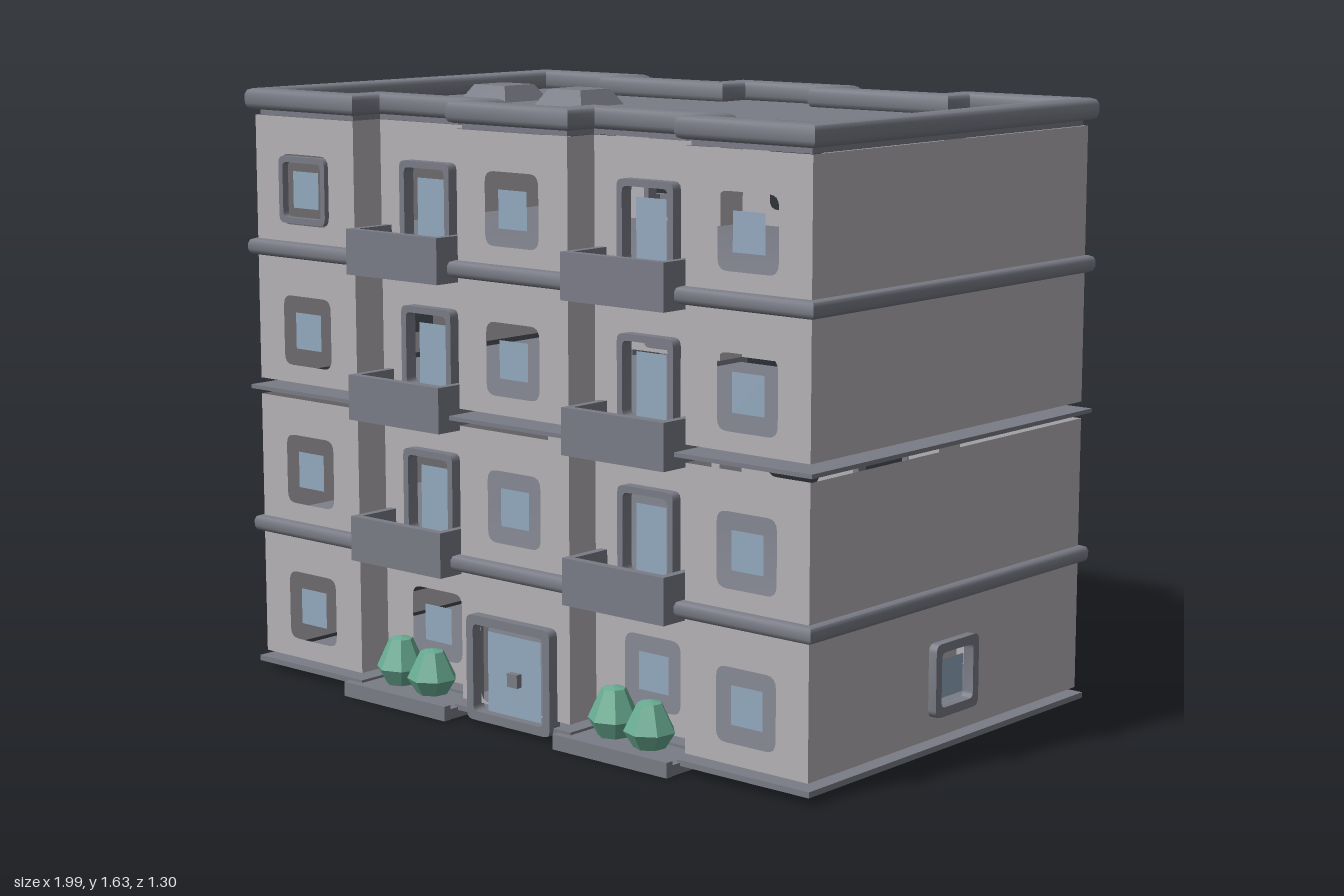
import * as THREE from 'three';
import { toCreasedNormals } from 'three/addons/utils/BufferGeometryUtils.js';

const mat = (name, color, side = THREE.FrontSide) =>
  Object.assign(new THREE.MeshStandardMaterial({ color, side }), { name });

const W = 0.97, D = 0.58, R = 0.48;          // half width, half depth, recessed wall depth
const BAY = 0.388, HB = BAY / 2;             // bay pitch and half bay
const FLOORS = [[0.05, 0.4], [0.43, 0.785], [0.83, 1.18], [1.22, 1.56]];
const WIN_Y = [0.2, 0.587, 0.975, 1.363];

// Building outline with two notches on the front and back, grown by e
function outline(e) {
  const w = W + e, d = D + e, r = R + e, a = BAY + HB - e, b = HB + e;
  const q = [[w, d], [a, d], [a, r], [b, r], [b, d]];
  const half = [...q, ...[...q].reverse().map(([x, y]) => [-x, y])];
  const pts = [...half, ...half.map(([x, y]) => [-x, -y])];
  return pts.map(([x, y]) => new THREE.Vector2(x, y));
}

// Rounded rectangle used for window openings and frames
function rounded(path, x0, y0, x1, y1, r) {
  path.moveTo(x0 + r, y0);
  path.lineTo(x1 - r, y0); path.quadraticCurveTo(x1, y0, x1, y0 + r);
  path.lineTo(x1, y1 - r); path.quadraticCurveTo(x1, y1, x1 - r, y1);
  path.lineTo(x0 + r, y1); path.quadraticCurveTo(x0, y1, x0, y1 - r);
  path.lineTo(x0, y0 + r); path.quadraticCurveTo(x0, y0, x0 + r, y0);
  return path;
}

export function createModel() {
  const wall = mat('wall grey', 0xb4b1b4, THREE.DoubleSide);
  const trim = mat('slate trim', 0x7a7c86);
  const glass = mat('window blue', 0x93a9bf);
  const leaf = mat('bush green', 0x68ab92);

  const model = new THREE.Group();
  model.name = 'apartmentBlock';
  const body = new THREE.Group();
  body.name = 'building';
  body.position.x = 0.008;
  model.add(body);

  const add = (name, geo, material, x = 0, y = 0, z = 0, parent = body) => {
    const m = new THREE.Mesh(geo, material);
    m.name = name;
    m.position.set(x, y, z);
    parent.add(m);
    return m;
  };
  const box = (name, w, h, d, x, y, z, parent, material = trim) =>
    add(name, new THREE.BoxGeometry(w, h, d), material, x, y, z, parent);

  // Horizontal slab following the outline; inner makes it a ring
  const slab = (name, e, y0, y1, bevel, inner) => {
    const s = new THREE.Shape(outline(e - bevel));
    if (inner !== undefined) s.holes.push(new THREE.Path(outline(inner + bevel)));
    const geo = new THREE.ExtrudeGeometry(s, {
      depth: y1 - y0 - 2 * bevel, bevelEnabled: bevel > 0,
      bevelSize: bevel, bevelThickness: bevel, bevelSegments: 2,
    }).rotateX(-Math.PI / 2);
    add(name, toCreasedNormals(geo, 0.9), trim, 0, y0 + bevel, 0);
  };

  // Flat wall panel with an optional opening [x0, y0, x1, y1]
  const panel = (name, w, y0, y1, hole, parent, x, z, turn = 0) => {
    const s = new THREE.Shape();
    s.moveTo(-w / 2, y0); s.lineTo(w / 2, y0); s.lineTo(w / 2, y1); s.lineTo(-w / 2, y1);
    if (hole) s.holes.push(rounded(new THREE.Path(), ...hole, 0.03));
    add(name, new THREE.ShapeGeometry(s, 4), wall, x, 0, z, parent).rotation.y = turn;
  };

  // Raised surround around an opening
  const frame = (name, [x0, y0, x1, y1], t, depth, parent, x, z, turn = 0) => {
    const s = rounded(new THREE.Shape(), x0 - t, y0 - t, x1 + t, y1 + t, 0.02);
    s.holes.push(rounded(new THREE.Path(), x0, y0, x1, y1, 0.015));
    const geo = new THREE.ExtrudeGeometry(s, { depth, bevelEnabled: false, curveSegments: 3 });
    add(name, toCreasedNormals(geo, 0.7), trim, x, 0, z, parent).rotation.y = turn;
  };
  const pane = (name, w, y0, y1, parent, x, z) =>
    add(name, new THREE.PlaneGeometry(w, y1 - y0), glass, x, (y0 + y1) / 2, z, parent);

  // Base, floor bands, roof and parapet
  slab('baseSlab', 0.015, 0.02, 0.035, 0);
  slab('firstBand', 0.02, 0.395, 0.44, 0.014);
  slab('middlePlate', 0.02, 0.8, 0.811, 0);
  slab('thirdBand', 0.02, 1.175, 1.22, 0.014);
  slab('roofDeck', -0.01, 1.56, 1.578, 0);
  slab('parapet', 0.02, 1.575, 1.632, 0.016, -0.042);

  // Shallow sagging underside
  const sag = new THREE.Shape([[-0.58, 0.025], [-0.2, 0.003], [0.2, 0.003], [0.58, 0.025]]
    .map(([z, y]) => new THREE.Vector2(z, y)));
  add('underside', new THREE.ExtrudeGeometry(sag, { depth: 1.16, bevelEnabled: false })
    .rotateY(Math.PI / 2), trim, -0.58, 0, 0);

  // Low-poly bush profile
  const bushGeo = new THREE.LatheGeometry([[0, 0], [0.042, 0.01], [0.068, 0.052], [0.032, 0.125], [0, 0.132]]
    .map(([x, y]) => new THREE.Vector2(x, y)), 7).toNonIndexed();
  bushGeo.computeVertexNormals();

  // Front and back facades
  for (const front of [true, false]) {
    const face = new THREE.Group();
    face.name = front ? 'frontFacade' : 'backFacade';
    face.rotation.y = front ? 0 : Math.PI;
    body.add(face);

    FLOORS.forEach(([y0, y1], f) => {
      const cy = WIN_Y[f];
      for (let b = -2; b <= 2; b++) {
        const x = b * BAY, recess = Math.abs(b) === 1, z = recess ? R : D;
        let hole = [-0.094, cy - 0.096, 0.094, cy + 0.096];
        if (recess && f > 0) {
          // Balcony door
          hole = [-0.085, y0 + 0.015, 0.085, cy + 0.088];
          pane('balconyDoor', 0.1, y0 + 0.015, cy + 0.05, face, x, z + 0.004);
          frame('balconyDoorFrame', [-0.075, y0 + 0.03, 0.075, cy + 0.078], 0.018, 0.035, face, x, z - 0.005);
        } else if (b === 0 && f === 0) {
          // Entrance
          hole = [-0.125, 0.055, 0.125, 0.275];
          frame('entranceFrame', [-0.125, 0.035, 0.125, 0.27], 0.024, 0.04, face, x, z - 0.01);
          if (front) {
            pane('entranceDoor', 0.19, 0.025, 0.25, face, x, z + 0.004);
            box('doorHandle', 0.036, 0.036, 0.02, x + 0.008, 0.137, z + 0.012, face);
          }
        } else if (front || recess) {
          pane('windowPane', 0.1, cy - 0.05, cy + 0.05, face, x, z - 0.004);
        }
        if (front && b === -2 && f === 3) {
          frame('windowFrame', [-0.075, cy - 0.075, 0.075, cy + 0.075], 0.016, 0.02, face, x, z - 0.008);
        }
        panel('wallPanel', BAY, y0, y1, hole, face, x, z);
        if (recess) for (const s of [-1, 1]) {
          panel('recessSide', D - R, y0, y1, null, face, x + s * HB, (D + R) / 2, Math.PI / 2);
        }
      }
    });

    for (const s of [-1, 1]) {
      // Balconies with solid railings
      for (const y of [0.38, 0.766, 1.158]) {
        const g = new THREE.Group();
        g.name = 'balcony';
        g.position.set(s * BAY, y, 0);
        face.add(g);
        box('balconyFloor', 0.33, 0.022, 0.13, 0, 0.011, 0.555, g);
        box('balconyFront', 0.34, 0.122, 0.024, 0, 0.061, 0.622, g);
        for (const e of [-1, 1]) box('balconySide', 0.022, 0.122, 0.13, e * 0.159, 0.061, 0.552, g);
      }
      // Planting bed and its two bushes
      box('plantingBed', 0.38, 0.028, 0.18, s * BAY, 0.014, 0.555, face);
      box('bedKerb', 0.385, 0.04, 0.022, s * BAY, 0.02, 0.637, face);
      for (const e of [-1, 1]) {
        const bush = add('bush', bushGeo, leaf, s * BAY + e * 0.068, 0.03, 0.56 + e * 0.008, face);
        bush.rotation.y = e;
        bush.scale.y = 1.04 - e * 0.04;
      }
    }
  }

  // End walls
  FLOORS.forEach(([y0, y1], f) => {
    const cy = WIN_Y[f], hole = [-0.09, cy - 0.085, 0.09, cy + 0.085];
    panel('leftEndWall', 2 * D, y0, y1, f === 0 ? [-0.085, 0.11, 0.085, 0.285] : null, body, W, 0, Math.PI / 2);
    panel('rightEndWall', 2 * D, y0, y1, f % 2 === 0 ? hole : null, body, -W, 0, -Math.PI / 2);
    if (f > 0) box('wallVent', 0.03, 0.025, 0.025, -W - 0.01, cy, -0.47);
  });
  frame('endWindowFrame', [-0.068, 0.132, 0.068, 0.275], 0.024, 0.03, body, W - 0.006, 0, Math.PI / 2);
  pane('endWindowPane', 0.1, 0.15, 0.25, body, W + 0.004, 0).rotation.y = Math.PI / 2;

  // Rooftop hatches with tapered tops
  for (const x of [-0.68, -0.39]) {
    const geo = new THREE.CylinderGeometry(0.085, 0.125, 0.045, 4, 1).rotateY(Math.PI / 4).toNonIndexed();
    geo.computeVertexNormals();
    add('roofHatch', geo, trim, x, 1.6, -0.1);
  }
  box('roofVent', 0.12, 0.035, 0.045, 0.73, 1.595, 0.32);

  return model;
}
